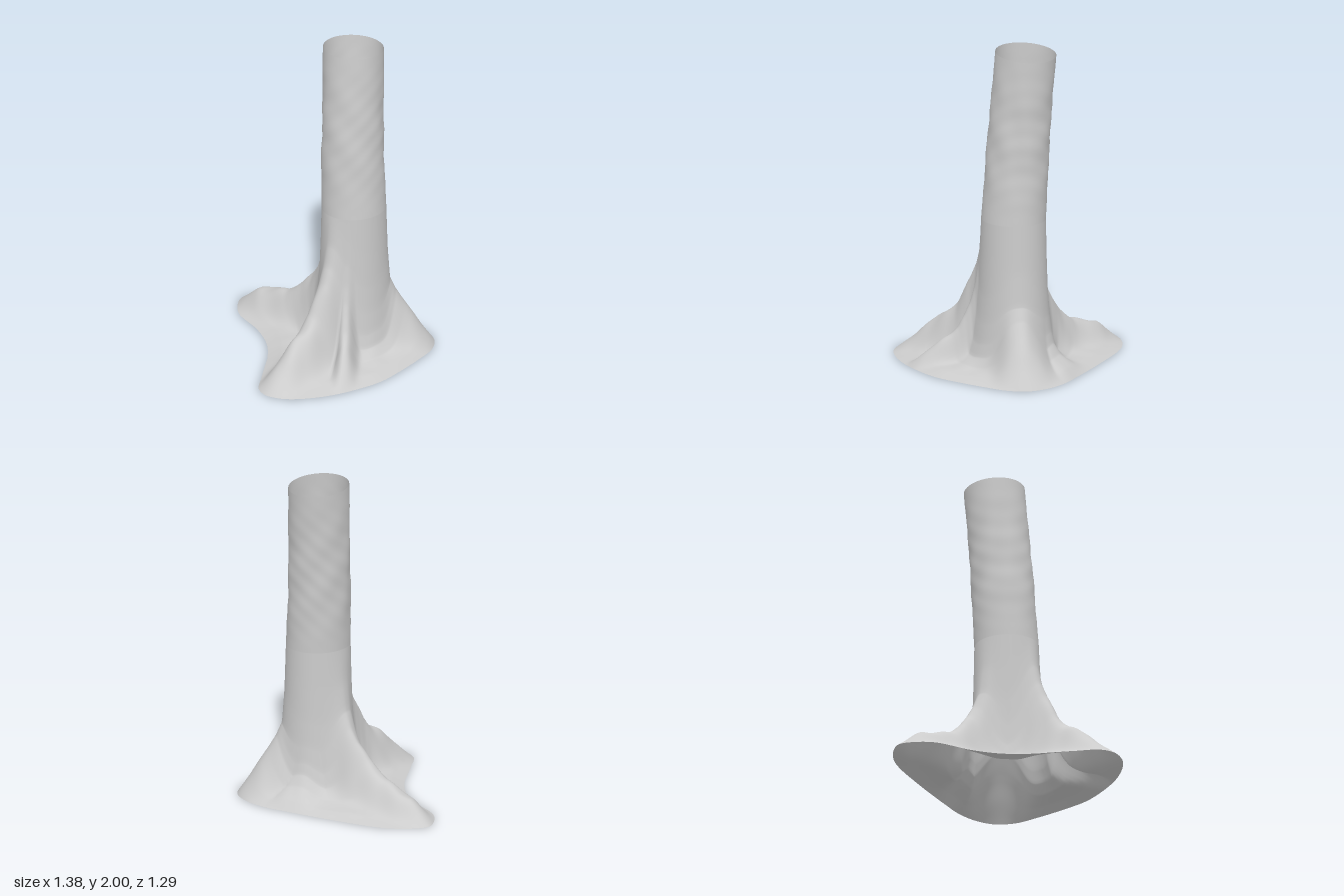
import * as THREE from 'three';

// Ground outline of the root skirt (x, z)
const OUTLINE = [
  [-0.69, -0.17], [-0.65, -0.26], [-0.55, -0.36], [-0.44, -0.42], [-0.25, -0.49], [-0.1, -0.54],
  [0.1, -0.6], [0.25, -0.64], [0.4, -0.643], [0.52, -0.6], [0.6, -0.5], [0.64, -0.35],
  [0.675, -0.15], [0.69, 0.02], [0.66, 0.2], [0.6, 0.38], [0.5, 0.54], [0.42, 0.61],
  [0.33, 0.64], [0.24, 0.61], [0.15, 0.5], [0.05, 0.37], [-0.02, 0.28], [-0.15, 0.16],
  [-0.32, 0.07], [-0.55, 0.0], [-0.65, -0.09],
];
// Height against distance from trunk wall (0) to outline (1)
const VALLEY = [[0, 0.95], [0.015, 0.7], [0.04, 0.48], [0.08, 0.32], [0.14, 0.18], [0.22, 0.1], [0.4, 0.055], [0.75, 0.03], [1, 0]];
const CONCAVE = [[0, 0.95], [0.02, 0.75], [0.055, 0.57], [0.12, 0.46], [0.19, 0.38], [0.3, 0.29], [0.47, 0.2], [0.79, 0.125], [1, 0]];
const FULL = [[0, 0.95], [0.04, 0.76], [0.09, 0.63], [0.16, 0.53], [0.31, 0.37], [0.62, 0.2], [0.85, 0.08], [1, 0]];
const STEEP = [[0, 0.95], [0.03, 0.66], [0.08, 0.45], [0.2, 0.36], [0.5, 0.22], [0.8, 0.09], [1, 0]];
// Buttress roots: ground line, half width, height profile, strength
const ROOTS = [
  { a: [0.15, -0.19], b: [-0.75, -0.14], w: 0.11, p: CONCAVE, k: 1 },
  { a: [0.25, -0.1], b: [0.33, 0.7], w: 0.12, p: FULL, k: 1 },
  { a: [0.32, -0.05], b: [0.62, 0.26], w: 0.055, p: FULL, k: 0.65 },
  { a: [0.28, -0.28], b: [0.56, -0.62], w: 0.15, p: STEEP, k: 1 },
  { a: [0.2, -0.3], b: [0.1, -0.62], w: 0.12, p: STEEP, k: 0.3 },
];
// Trunk sections: y, centre x, centre z, radius x, radius z
const TRUNK = [
  [0.95, 0.235, -0.2, 0.19, 0.2], [1.3, 0.215, -0.21, 0.185, 0.195],
  [1.6, 0.2, -0.225, 0.181, 0.189], [2, 0.18, -0.25, 0.18, 0.188],
];

// Linear lookup of column c in a table keyed by column 0
function lookup(table, x, c = 1) {
  let i = 0;
  while (i < table.length - 2 && x > table[i + 1][0]) i++;
  const t = (x - table[i][0]) / (table[i + 1][0] - table[i][0]);
  return table[i][c] + (table[i + 1][c] - table[i][c]) * t;
}

function segmentDistance(x, z, [ax, az], [bx, bz]) {
  const dx = bx - ax, dz = bz - az;
  const t = Math.min(1, Math.max(0, ((x - ax) * dx + (z - az) * dz) / (dx * dx + dz * dz)));
  return Math.hypot(x - ax - dx * t, z - az - dz * t);
}

// Soft irregular bumps of the bark
const bump = (x, y, z) =>
  Math.sin(17 * x + 9 * y + 3) * Math.sin(19 * z - 11 * y) + 0.6 * Math.sin(31 * x - 27 * y) * Math.sin(37 * z + 23 * y + 1);

function trunkPoint(y, angle) {
  const [cx, cz, rx, rz] = [1, 2, 3, 4].map((c) => lookup(TRUNK, y, c));
  return [cx + rx * Math.cos(angle), cz + rz * Math.sin(angle)];
}

function flareHeight(x, z, f) {
  const base = lookup(VALLEY, f);
  let rise = 0;
  for (const r of ROOTS) {
    const d = segmentDistance(x, z, r.a, r.b) / r.w;
    rise = Math.max(rise, r.k * Math.exp(-Math.pow(d, 2.6)) * (lookup(r.p, f) - base));
  }
  return (base + rise) * (1 + 0.05 * bump(x, 0, z) * Math.min(1, f * 5));
}

export function createModel() {
  const COLS = 240, TRUNK_ROWS = 42, FLARE_ROWS = 56;
  const curve = new THREE.CatmullRomCurve3(OUTLINE.map(([x, z]) => new THREE.Vector3(x, 0, z)), true, 'centripetal');
  const rim = curve.getPoints(COLS).slice(0, COLS);
  const angles = rim.map((p) => Math.atan2(p.z + 0.2, p.x - 0.235));
  const pos = [], index = [];

  // Hollow trunk, from the slanted top cut down to the flare
  for (let r = 0; r < TRUNK_ROWS; r++) {
    const t = r / TRUNK_ROWS;
    for (const a of angles) {
      const y = 2 - 1.05 * t;
      const [x, z] = trunkPoint(y, a);
      const n = 0.004 * bump(x, y, z) * Math.sin(Math.PI * t);
      const cut = (1 - t) * 0.08 * (z + 0.062);
      pos.push(x + n * Math.cos(a), y + Math.min(0, cut), z + n * Math.sin(a));
    }
  }
  // Root flare, from the trunk wall out to the ground outline
  for (let r = 0; r <= FLARE_ROWS; r++) {
    const f = Math.pow(r / FLARE_ROWS, 2.2);
    for (let i = 0; i < COLS; i++) {
      const [wx, wz] = trunkPoint(0.95, angles[i]);
      const x = wx + (rim[i].x - wx) * f, z = wz + (rim[i].z - wz) * f;
      pos.push(x, flareHeight(x, z, f), z);
    }
  }
  for (let r = 0; r < TRUNK_ROWS + FLARE_ROWS; r++) {
    for (let i = 0; i < COLS; i++) {
      const j = (i + 1) % COLS;
      const a = r * COLS + i, b = r * COLS + j;
      index.push(a, b, a + COLS, b, b + COLS, a + COLS);
    }
  }

  const geometry = new THREE.BufferGeometry();
  geometry.setAttribute('position', new THREE.Float32BufferAttribute(pos, 3));
  geometry.setIndex(index);
  geometry.computeVertexNormals();
  const trunk = new THREE.Mesh(geometry, new THREE.MeshStandardMaterial({ color: 0xcccccc, side: THREE.DoubleSide }));
  trunk.name = 'trunkWithRoots';

  const group = new THREE.Group();
  group.name = 'treeStump';
  group.add(trunk);
  return group;
}
